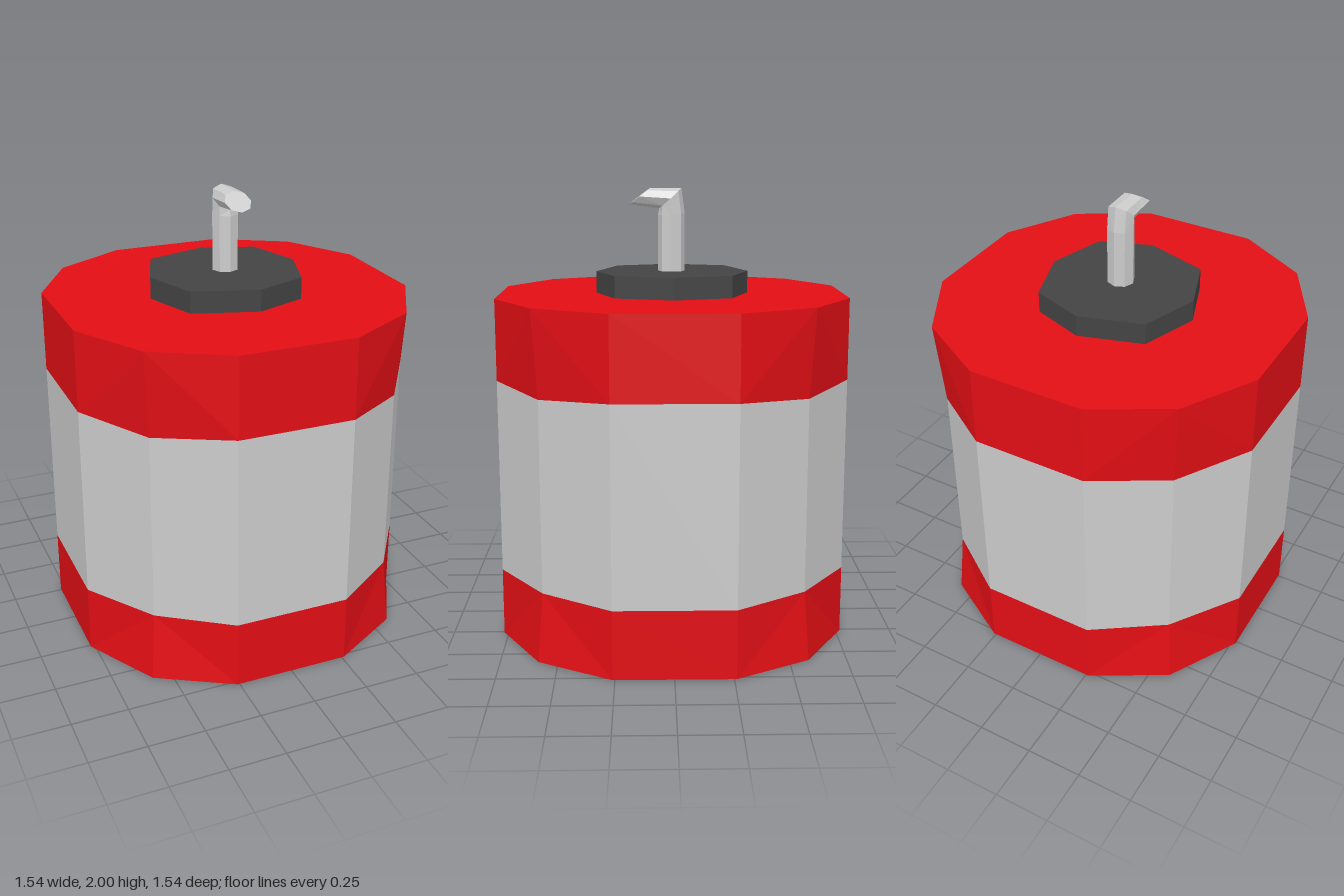
import * as THREE from 'three';

const material = (color) => new THREE.MeshStandardMaterial({ color, flatShading: true });

// Skins a stack of rings (counter-clockwise seen from above), with optional end caps.
// Each quad is split along its shorter diagonal.
function loft(name, rings, mat, capStart, capEnd) {
  const pos = [];
  const tri = (...pts) => pts.forEach((p) => pos.push(p.x, p.y, p.z));
  const n = rings[0].length;
  for (let r = 0; r < rings.length - 1; r++) {
    for (let i = 0; i < n; i++) {
      const j = (i + 1) % n;
      const a = rings[r][i], b = rings[r][j], c = rings[r + 1][j], d = rings[r + 1][i];
      if (a.distanceTo(c) < b.distanceTo(d)) { tri(a, b, c); tri(a, c, d); }
      else { tri(a, b, d); tri(b, c, d); }
    }
  }
  const first = rings[0], last = rings[rings.length - 1];
  for (let i = 1; i < n - 1; i++) {
    if (capStart) tri(first[0], first[i + 1], first[i]);
    if (capEnd) tri(last[0], last[i], last[i + 1]);
  }
  const geo = new THREE.BufferGeometry();
  geo.setAttribute('position', new THREE.Float32BufferAttribute(pos, 3));
  geo.computeVertexNormals();
  const mesh = new THREE.Mesh(geo, mat);
  mesh.name = name;
  return mesh;
}

// Twelve-sided body ring; the diagonal corners have their own reach and height.
function bodyRing(y, diagonal, diagonalY = y) {
  const ring = [];
  for (let q = 0; q < 4; q++) {
    const corner = [[0.77, y, 0.26], [diagonal, diagonalY, diagonal], [0.26, y, 0.77]];
    for (const [x, h, up] of corner) {
      ring.push(new THREE.Vector3(x, h, -up).applyAxisAngle(new THREE.Vector3(0, 1, 0), q * Math.PI / 2));
    }
  }
  return ring;
}

// Eight-sided rod ring stretched between its back point and its front point, given as [y, z].
function rodRing([backY, backZ], [frontY, frontZ]) {
  return Array.from({ length: 8 }, (_, i) => {
    const a = i * Math.PI / 4;
    const t = (1 - Math.sin(a)) / 2;
    return new THREE.Vector3(
      0.06 * Math.cos(a),
      THREE.MathUtils.lerp(backY, frontY, t),
      THREE.MathUtils.lerp(backZ, frontZ, t));
  });
}

export function createModel() {
  const model = new THREE.Group();
  model.name = 'canister';
  const red = material(0xe20f15);
  const grey = material(0xcccccc);
  const dark = material(0x444444);

  // Body: two flared red ends around a grey band
  const bottom = bodyRing(0, 0.585);
  const bandLow = bodyRing(0.305, 0.563);
  const bandHigh = bodyRing(1.175, 0.563, 1.152);
  const top = bodyRing(1.535, 0.585);
  model.add(loft('bottomEnd', [bottom, bandLow], red, true, false));
  model.add(loft('middleBand', [bandLow, bandHigh], grey, false, false));
  model.add(loft('topEnd', [bandHigh, top], red, false, true));

  // Slightly uneven eight-sided collar
  const outline = [[0.335, -0.005], [0.255, -0.26], [0.02, -0.343], [-0.26, -0.258],
    [-0.35, 0], [-0.26, 0.25], [0.025, 0.338], [0.255, 0.25]];
  const collarRing = (y) => outline.map(([x, z]) => new THREE.Vector3(x, y, z));
  model.add(loft('collar', [collarRing(1.535), collarRing(1.632)], dark, false, true));

  // Bent rod: upright post, mitred bend, short arm with a slanted tip
  model.add(loft('bentRod', [
    rodRing([1.63, -0.06], [1.63, 0.06]),
    rodRing([1.89, -0.06], [1.88, 0.06]),
    rodRing([2.0, -0.045], [1.91, 0.055]),
    rodRing([2.0, 0.095], [1.928, 0.19]),
  ], grey, false, true));

  return model;
}
